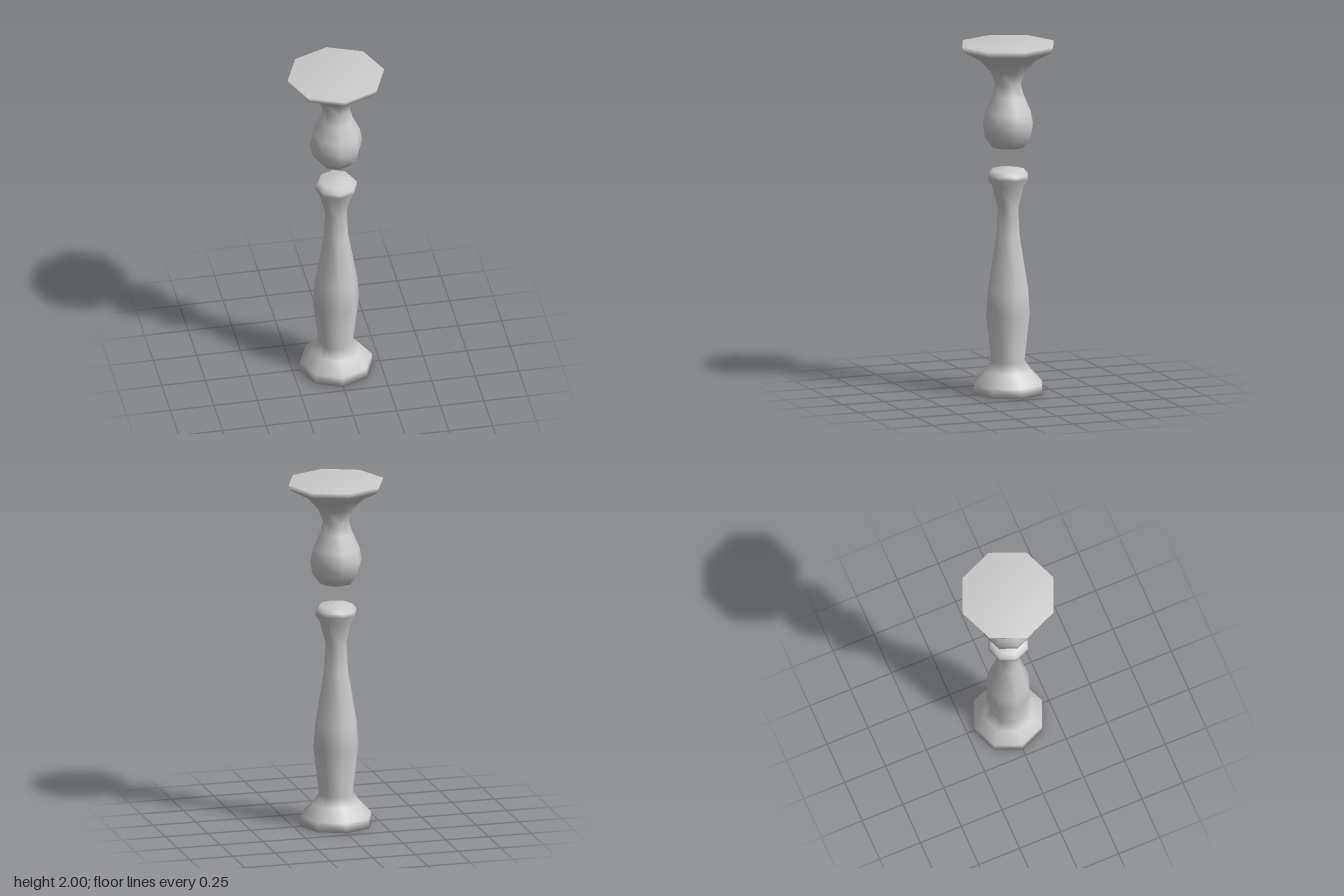
import * as THREE from 'three';

const material = new THREE.MeshStandardMaterial({ color: 0xcccccc });

// Eight-sided turned part from a [radius, height] profile, bottom to top
function turned(name, profile) {
  const points = profile.map(([r, y]) => new THREE.Vector2(r, y));
  const mesh = new THREE.Mesh(new THREE.LatheGeometry(points, 8), material);
  mesh.name = name;
  return mesh;
}

export function createModel() {
  const group = new THREE.Group();
  group.name = 'turnedPedestal';

  // Flared foot, swelling shaft and collar with a shallow domed cap
  group.add(turned('lowerColumn', [
    [0, 0], [0.212, 0], [0.206, 0.055], [0.14, 0.125], [0.1, 0.18],
    [0.132, 0.455], [0.122, 0.59], [0.07, 0.9], [0.062, 1.06],
    [0.096, 1.19], [0.122, 1.23], [0.119, 1.252], [0.095, 1.28], [0, 1.293],
  ]));

  // Floating bulb, narrow neck and wide flat top
  group.add(turned('upperBulbAndTop', [
    [0, 1.393], [0.092, 1.41], [0.137, 1.468], [0.151, 1.54], [0.137, 1.61],
    [0.095, 1.7], [0.076, 1.77], [0.104, 1.845], [0.166, 1.912],
    [0.265, 1.966], [0.277, 2], [0, 2],
  ]));

  return group;
}
